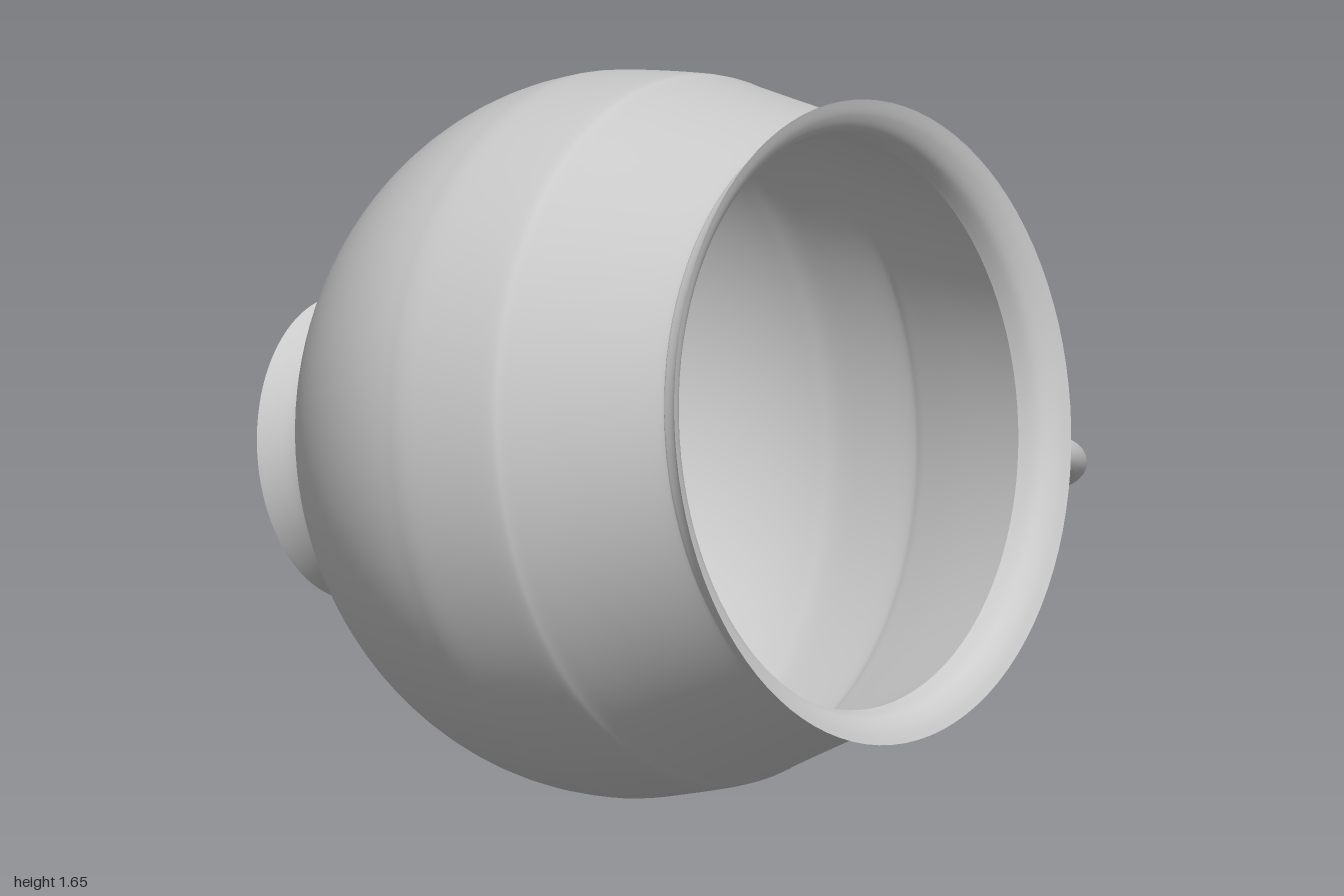
import * as THREE from 'three';

const material = new THREE.MeshStandardMaterial({ color: 0xcccccc, side: THREE.DoubleSide });

// Surface of revolution through [radius, height] points, smoothed by a spline
function turned(name, points, smooth = true) {
  let pts = points.map(([r, t]) => new THREE.Vector2(r, t));
  if (smooth) pts = new THREE.SplineCurve(pts).getPoints(points.length * 6);
  const mesh = new THREE.Mesh(new THREE.LatheGeometry(pts, 96), material);
  mesh.name = name;
  return mesh;
}

// Rounded belly: quarter ellipse from the foot to the widest point, at a given inset
function belly(inset, start) {
  const a = 0.73 - inset, b = 0.82 - inset, out = [];
  const first = Math.acos((0.81 - start) / a);
  for (let i = 0; i <= 10; i++) {
    const ang = first + (Math.PI / 2 - first) * (i / 10);
    out.push([b * Math.sin(ang), 0.81 - a * Math.cos(ang)]);
  }
  return out;
}

export function createModel() {
  const model = new THREE.Group();
  model.name = 'cup';

  // Bowl and foot share one tilted axis
  const body = new THREE.Group();
  body.name = 'body';
  body.position.set(-0.18, 0.683, -0.767);
  body.rotation.x = THREE.MathUtils.degToRad(80);
  model.add(body);

  body.add(
    turned('footUnderside', [[0, 0.085], [0.24, 0.085]], false),
    turned('footInnerLip', [[0.24, 0.085], [0.257, 0.045], [0.29, 0.015], [0.345, 0]]),
    turned('foot', [[0.345, 0], [0.33, 0.04], [0.319, 0.08], [0.32, 0.115], [0.338, 0.148]]),
    turned('outerWall', [...belly(0, 0.148), [0.806, 1.0], [0.79, 1.06], [0.747, 1.2], [0.688, 1.4],
      [0.687, 1.43], [0.7, 1.465], [0.727, 1.487]]),
    turned('rimLip', [[0.727, 1.487], [0.692, 1.472], [0.662, 1.445], [0.645, 1.4]]),
    turned('innerWall', [[0.645, 1.4], [0.707, 1.19], [0.75, 1.05], [0.766, 0.99],
      ...belly(0.04, 0.165).reverse().slice(0, -1), [0.277, 0.17]]),
    turned('innerFloor', [[0.277, 0.17], [0, 0.17]], false),
  );

  // Looped side handle, ending just inside the wall
  const path = new THREE.CatmullRomCurve3([
    [0.53, 0.705, 0.445], [0.62, 0.698, 0.49], [0.73, 0.678, 0.515], [0.85, 0.63, 0.475],
    [0.93, 0.578, 0.36], [0.952, 0.545, 0.22], [0.895, 0.522, 0.03], [0.75, 0.53, -0.13],
    [0.61, 0.553, -0.235], [0.515, 0.566, -0.295],
  ].map((p) => new THREE.Vector3(...p)));
  const handle = new THREE.Group();
  handle.name = 'handle';
  const loop = new THREE.Mesh(new THREE.TubeGeometry(path, 80, 0.044, 20), material);
  loop.name = 'handleLoop';
  handle.add(loop);

  // Flat caps on the handle ends
  for (const end of [0, 1]) {
    const cap = new THREE.Mesh(new THREE.CircleGeometry(0.044, 20), material);
    cap.name = end ? 'handleBackCap' : 'handleFrontCap';
    const dir = path.getTangentAt(end).multiplyScalar(end ? 1 : -1);
    cap.position.copy(path.getPointAt(end));
    cap.quaternion.setFromUnitVectors(new THREE.Vector3(0, 0, 1), dir);
    handle.add(cap);
  }
  model.add(handle);
  return model;
}
